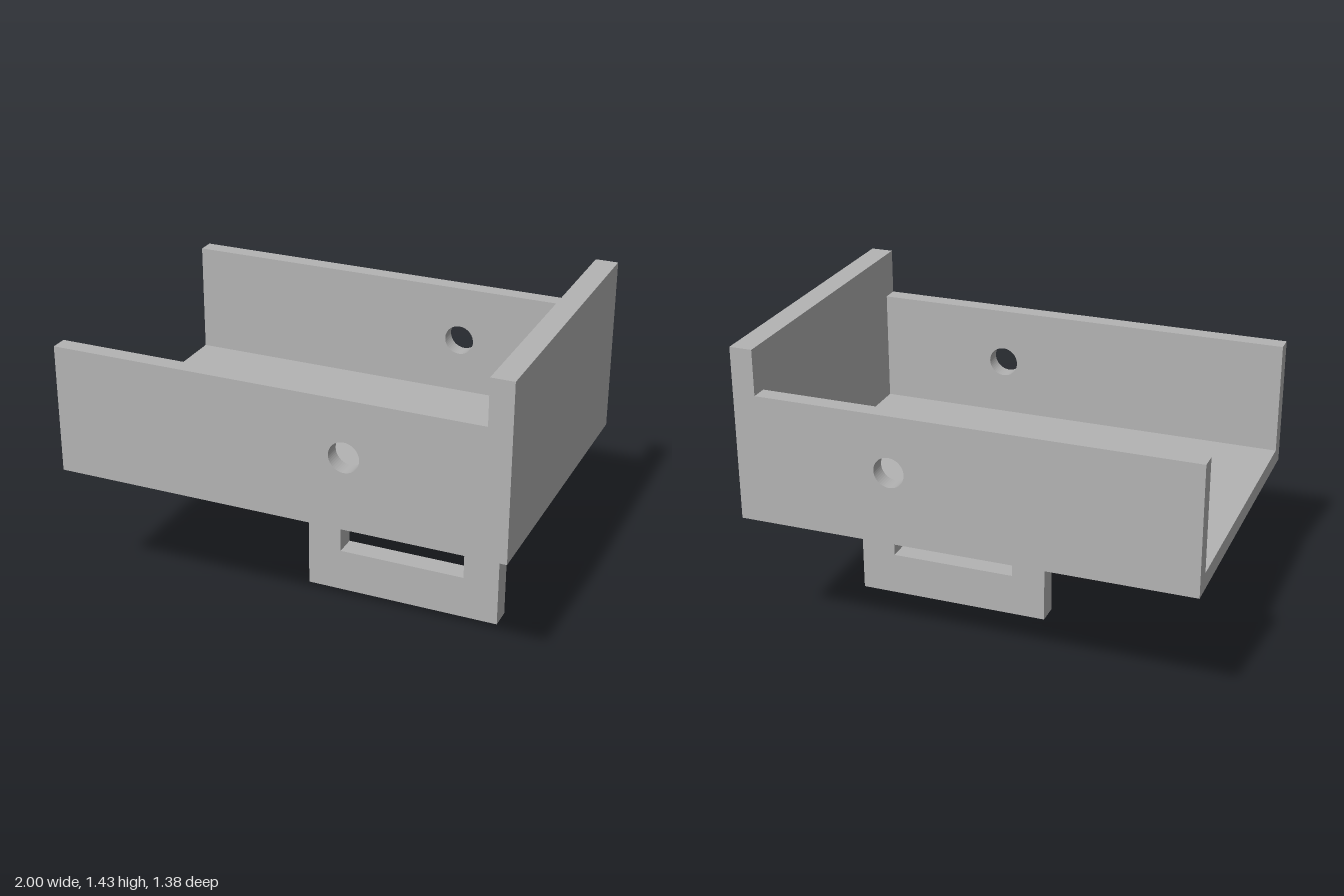
import * as THREE from 'three';

const BASE = 0.655, WALL = 0.075, HALF_Z = 0.688, END_X = 0.9;

// rectangle outline as a Shape or hole Path
function rect(Type, x0, y0, x1, y1) {
  const p = new Type();
  p.moveTo(x0, y0);
  p.lineTo(x1, y0);
  p.lineTo(x1, y1);
  p.lineTo(x0, y1);
  p.closePath();
  return p;
}

function circle(x, y, r) {
  const p = new THREE.Path();
  p.absarc(x, y, r, 0, Math.PI * 2, true);
  return p;
}

function plate(shape, holes, depth) {
  shape.holes.push(...holes);
  return new THREE.ExtrudeGeometry(shape, { depth, bevelEnabled: false, curveSegments: 24 });
}

export function createModel() {
  const group = new THREE.Group();
  const grey = new THREE.MeshStandardMaterial({ color: 0xb3b3b3 });
  grey.name = 'plain grey';

  function add(name, geometry, x = 0, y = 0, z = 0) {
    const mesh = new THREE.Mesh(geometry, grey);
    mesh.name = name;
    mesh.position.set(x, y, z);
    group.add(mesh);
  }

  // side walls with a round through hole
  for (const [name, z] of [['frontWall', HALF_Z - WALL], ['backWall', -HALF_Z]]) {
    add(name, plate(rect(THREE.Shape, -1, BASE, END_X, 1.228), [circle(0.31, 0.978, 0.067)], WALL), 0, 0, z);
  }

  // taller end wall
  add('endWall', new THREE.BoxGeometry(1 - END_X, 0.775, HALF_Z * 2), (1 + END_X) / 2, BASE + 0.775 / 2, 0);

  // floor in two layers: the slot goes through both, the screw holes are blind from below
  const inner = HALF_Z - WALL, holeDepth = 0.05;
  const slot = () => rect(THREE.Path, -0.513, 0.237, -0.213, 0.322);
  const screwHoles = [];
  for (const x of [-0.805, 0.805]) {
    for (const z of [-0.305, 0.305]) screwHoles.push(circle(x, z, 0.038));
  }
  const floorShape = () => rect(THREE.Shape, -1, -inner, END_X, inner);
  add('floorUnderside', plate(floorShape(), [slot(), ...screwHoles], holeDepth).rotateX(-Math.PI / 2), 0, BASE, 0);
  add('floorTop', plate(floorShape(), [slot()], WALL - holeDepth).rotateX(-Math.PI / 2), 0, BASE + holeDepth, 0);

  // hanging bracket with a window and two screw holes
  add('bracket', plate(rect(THREE.Shape, -0.112, 0, 0.785, BASE), [
    rect(THREE.Path, 0.043, 0.196, 0.625, 0.515),
    circle(-0.013, 0.352, 0.025),
    circle(0.682, 0.352, 0.025),
  ], 0.1), 0, 0, 0.014);

  return group;
}
